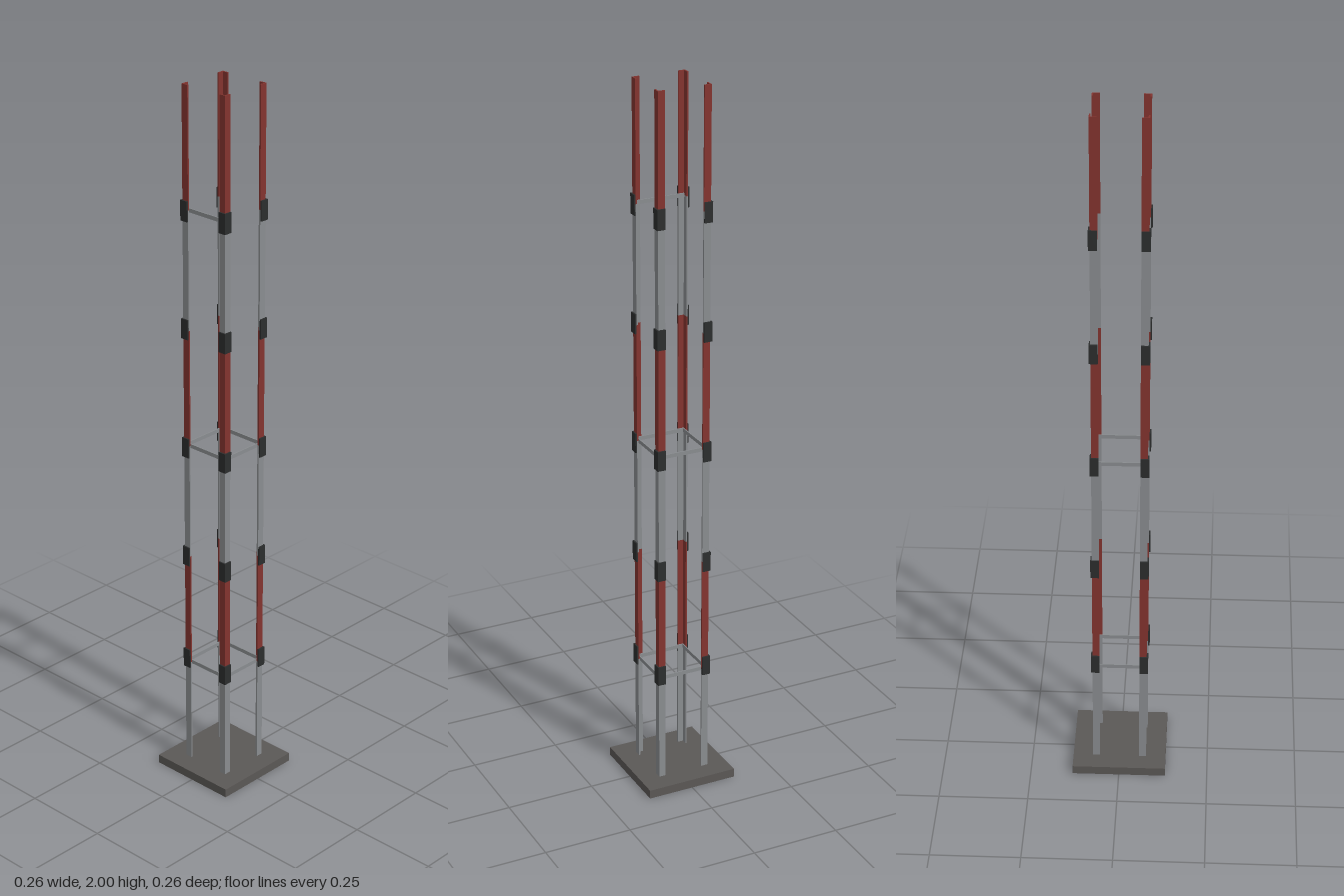
import * as THREE from 'three';

const mat = (name, color) => {
  const m = new THREE.MeshStandardMaterial({ color });
  m.name = name;
  return m;
};

// Upright angle bar: outer corner at (sx*outer, sz*outer), flanges running inward.
function angleBar(sx, sz, outer, width, thick, y0, y1) {
  const inner = outer - width, t = outer - thick;
  const pts = [[outer, outer], [inner, outer], [inner, t], [t, t], [t, inner], [outer, inner]];
  const shape = new THREE.Shape(pts.map(([x, z]) => new THREE.Vector2(x * sx, -z * sz)));
  const g = new THREE.ExtrudeGeometry(shape, { depth: y1 - y0, bevelEnabled: false });
  return g.rotateX(-Math.PI / 2).translate(0, y0, 0);
}

export function createModel() {
  const group = new THREE.Group();
  const baseGrey = mat('base grey', 0x5b5856);
  const steel = mat('steel grey', 0x8a8d90);
  const red = mat('dark red', 0x84342f);
  const black = mat('joint black', 0x2c2e2e);

  const add = (name, geometry, material) => {
    const mesh = new THREE.Mesh(geometry, material);
    mesh.name = name;
    group.add(mesh);
    return mesh;
  };

  // Square base slab
  add('base', new THREE.BoxGeometry(0.262, 0.025, 0.262).translate(0, 0.0125, 0), baseGrey);

  // Four legs in alternating steel and red sections, with splice plates at the joints
  const levels = [0.025, 0.335, 0.667, 1.0, 1.333, 1.667, 2.0];
  const joints = [0.346, 0.666, 0.993, 1.336, 1.664];
  for (const sx of [-1, 1]) {
    for (const sz of [-1, 1]) {
      for (let i = 0; i < 6; i++) {
        add('legSection', angleBar(sx, sz, 0.0755, 0.02, 0.004, levels[i], levels[i + 1]),
          i % 2 ? red : steel);
      }
      for (const y of joints) {
        add('splicePlate', angleBar(sx, sz, 0.0795, 0.0235, 0.004, y - 0.028, y + 0.028), black);
      }
    }
  }

  // Horizontal braces: two full rings, and a single front bar at the top
  const brace = (y, side, alongX) => {
    const g = alongX
      ? new THREE.BoxGeometry(0.143, 0.011, 0.003).translate(0, y, side * 0.07)
      : new THREE.BoxGeometry(0.003, 0.011, 0.143).translate(side * 0.07, y, 0);
    add('brace', g, steel);
  };
  for (const y of [0.336, 1.0]) {
    for (const side of [-1, 1]) {
      brace(y, side, true);
      brace(y, side, false);
    }
  }
  brace(1.667, 1, true);

  return group;
}
